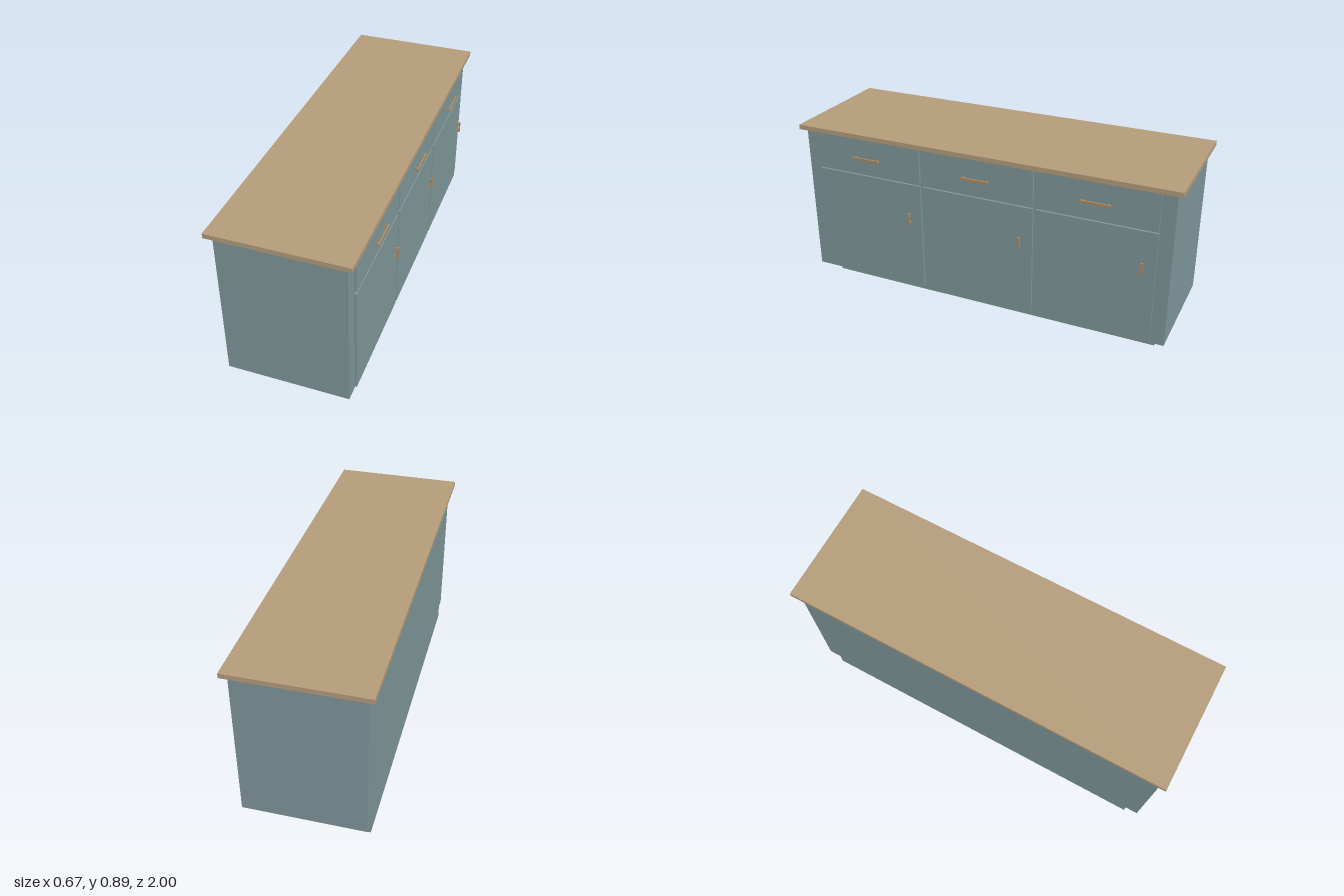
import * as THREE from 'three';

const mat = (name, color) => {
  const m = new THREE.MeshStandardMaterial({ color });
  m.name = name;
  return m;
};

// Box given by its min and max extents on each axis
function box(name, material, [x0, x1], [y0, y1], [z0, z1]) {
  const mesh = new THREE.Mesh(new THREE.BoxGeometry(x1 - x0, y1 - y0, z1 - z0), material);
  mesh.position.set((x0 + x1) / 2, (y0 + y1) / 2, (z0 + z1) / 2);
  mesh.name = name;
  return mesh;
}

// Bar pull centred on its mount point, running along z; two posts reach back to the panel
function pull(name, material, length, postOffset) {
  const g = new THREE.Group();
  g.name = name;
  g.add(box('pullBar', material, [0.017, 0.025], [-0.006, 0.006], [-length / 2, length / 2]));
  for (const s of [-1, 1]) {
    const z = s * postOffset;
    g.add(box('pullPost', material, [0, 0.017], [-0.003, 0.003], [z - 0.003, z + 0.003]));
  }
  return g;
}

export function createModel() {
  const paint = mat('bluePaint', 0x7f979a);
  const wood = mat('woodTop', 0xb59d7b);
  const brass = mat('brassPull', 0xb08c62);

  const model = new THREE.Group();
  model.name = 'kitchenIsland';

  // Main body, recessed base and overhanging top
  model.add(
    box('toeKick', paint, [-0.307, 0.207], [0, 0.075], [-0.907, 0.907]),
    box('cabinetBody', paint, [-0.307, 0.298], [0.075, 0.867], [-0.972, 0.972]),
    box('countertop', wood, [-0.337, 0.327], [0.867, 0.891], [-1, 1])
  );

  // Three bays, each a drawer above a door
  const face = 0.31;
  const half = 0.296;
  for (const z of [0.607, 0, -0.607]) {
    const bay = new THREE.Group();
    bay.name = 'bay';
    bay.position.z = z;
    bay.add(
      box('drawerFront', paint, [0.298, face], [0.677, 0.861], [-half, half]),
      box('door', paint, [0.298, face], [0.089, 0.663], [-half, half])
    );
    const drawerPull = pull('drawerPull', brass, 0.152, 0.062);
    drawerPull.position.set(face, 0.763, 0);
    const doorPull = pull('doorPull', brass, 0.061, 0.022);
    doorPull.rotation.x = Math.PI / 2;
    doorPull.position.set(face, 0.478, -0.234);
    bay.add(drawerPull, doorPull);
    model.add(bay);
  }
  return model;
}
